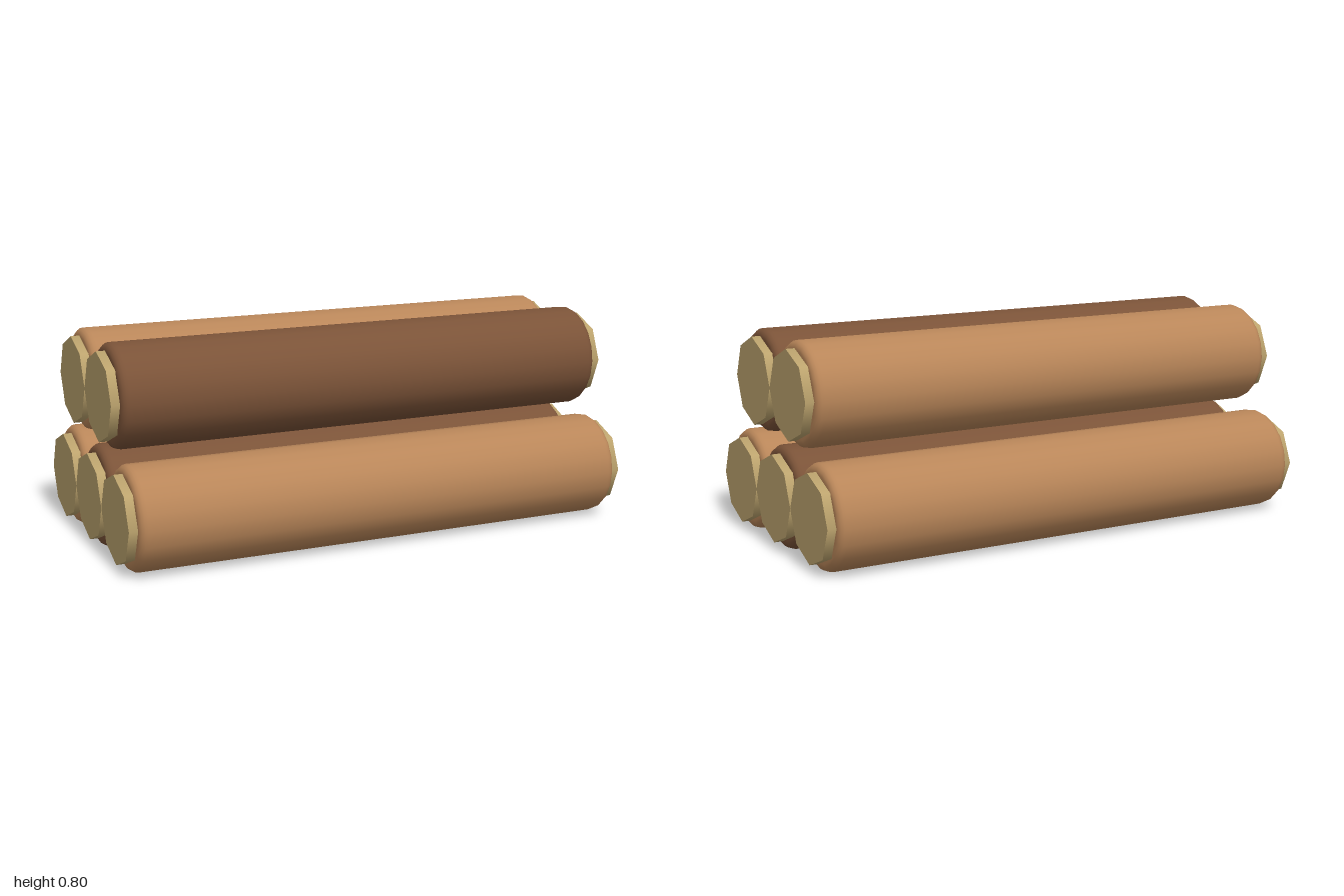
import * as THREE from 'three';

export function createModel() {
  const material = (name, color) => {
    const m = new THREE.MeshStandardMaterial({ color });
    m.name = name;
    return m;
  };
  const lightBark = material('light bark', 0xb98659);
  const darkBark = material('dark bark', 0x7b5338);
  const cutWood = material('cut wood', 0xbda46e);

  // Bark sleeve profile: straight side with rounded rims at both ends
  const radius = 0.193, half = 0.967, round = 0.03;
  const rim = [new THREE.Vector2(0.14, half)];
  for (let i = 0; i <= 4; i++) {
    const a = (1 - i / 4) * Math.PI / 2;
    rim.push(new THREE.Vector2(radius - round + round * Math.cos(a), half - round + round * Math.sin(a)));
  }
  const lower = rim.map((p) => new THREE.Vector2(p.x, -p.y));
  const barkGeometry = new THREE.LatheGeometry([...lower, ...rim.reverse()], 20);
  barkGeometry.rotateZ(Math.PI / 2);

  // Octagonal core that shows as a cut face at each end
  const coreGeometry = new THREE.CylinderGeometry(0.165, 0.165, 2, 8);
  coreGeometry.rotateZ(Math.PI / 2);

  // Stack: three logs below, two above
  const logs = [
    ['bottomFrontLog', 0.193, 0.33, lightBark],
    ['bottomMiddleLog', 0.193, 0, darkBark],
    ['bottomBackLog', 0.193, -0.33, lightBark],
    ['topFrontLog', 0.602, 0.165, darkBark],
    ['topBackLog', 0.602, -0.165, lightBark],
  ];
  const model = new THREE.Group();
  model.name = 'logStack';
  for (const [name, y, z, barkMaterial] of logs) {
    const log = new THREE.Group();
    log.name = name;
    const bark = new THREE.Mesh(barkGeometry, barkMaterial);
    bark.name = 'bark';
    const core = new THREE.Mesh(coreGeometry, cutWood);
    core.name = 'core';
    log.add(bark, core);
    log.position.set(0, y, z);
    model.add(log);
  }
  return model;
}
